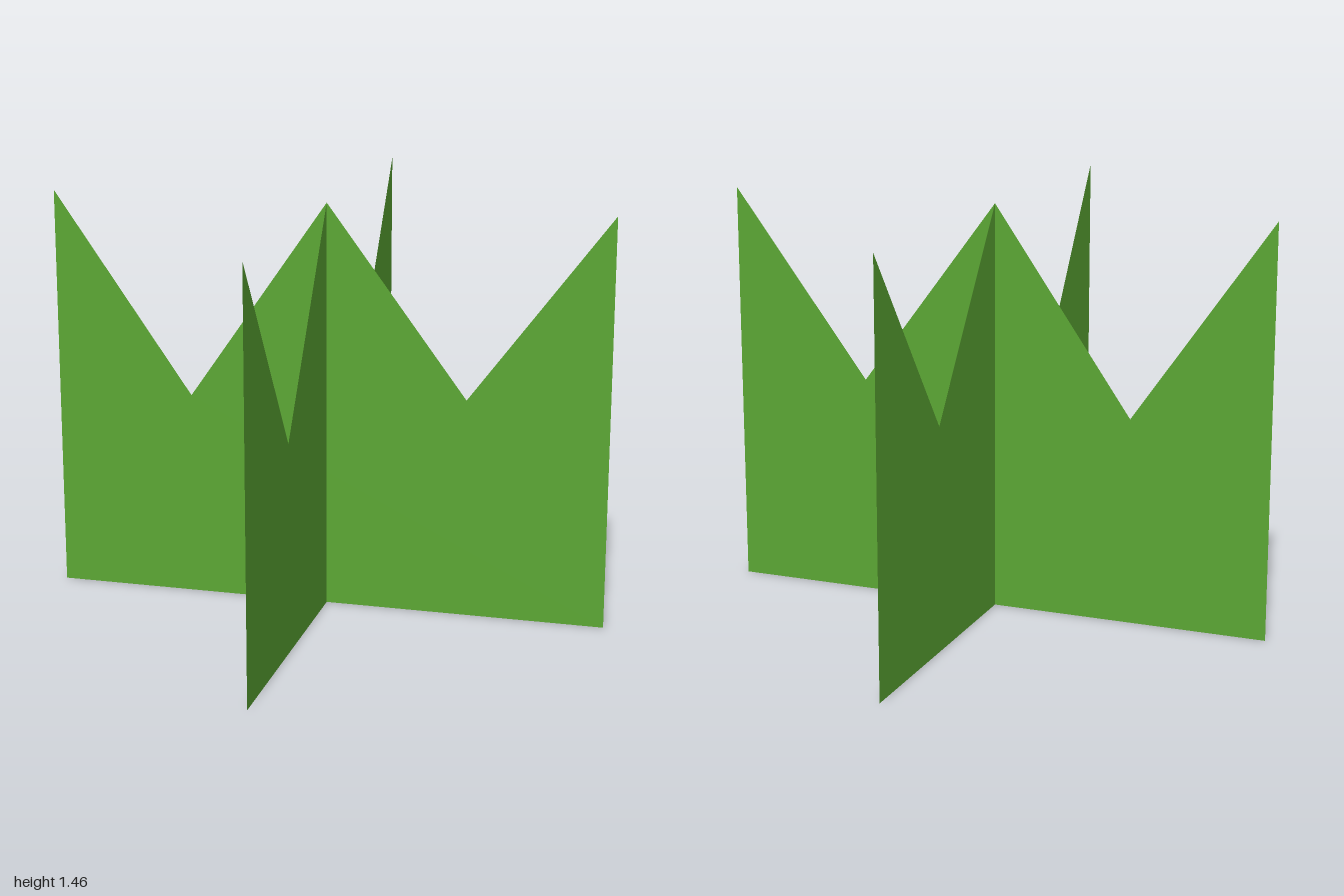
import * as THREE from 'three';

export function createModel() {
  const group = new THREE.Group();
  group.name = 'grassTuft';

  const material = new THREE.MeshStandardMaterial({ color: 0x5ca834, side: THREE.DoubleSide });

  // Flat blade card with three peaks and two slightly uneven notches
  const outline = [
    [-1, 0], [1, 0], [1, 1.46], [0.5, 0.79], [0, 1.46], [-0.5, 0.74], [-1, 1.46],
  ].map(([x, y]) => new THREE.Vector2(x, y));
  const geometry = new THREE.ShapeGeometry(new THREE.Shape(outline));

  // Two cards crossed at a right angle
  ['bladeCardAcross', 'bladeCardAlong'].forEach((name, i) => {
    const card = new THREE.Mesh(geometry, material);
    card.name = name;
    card.rotation.y = i * Math.PI / 2;
    group.add(card);
  });

  return group;
}
